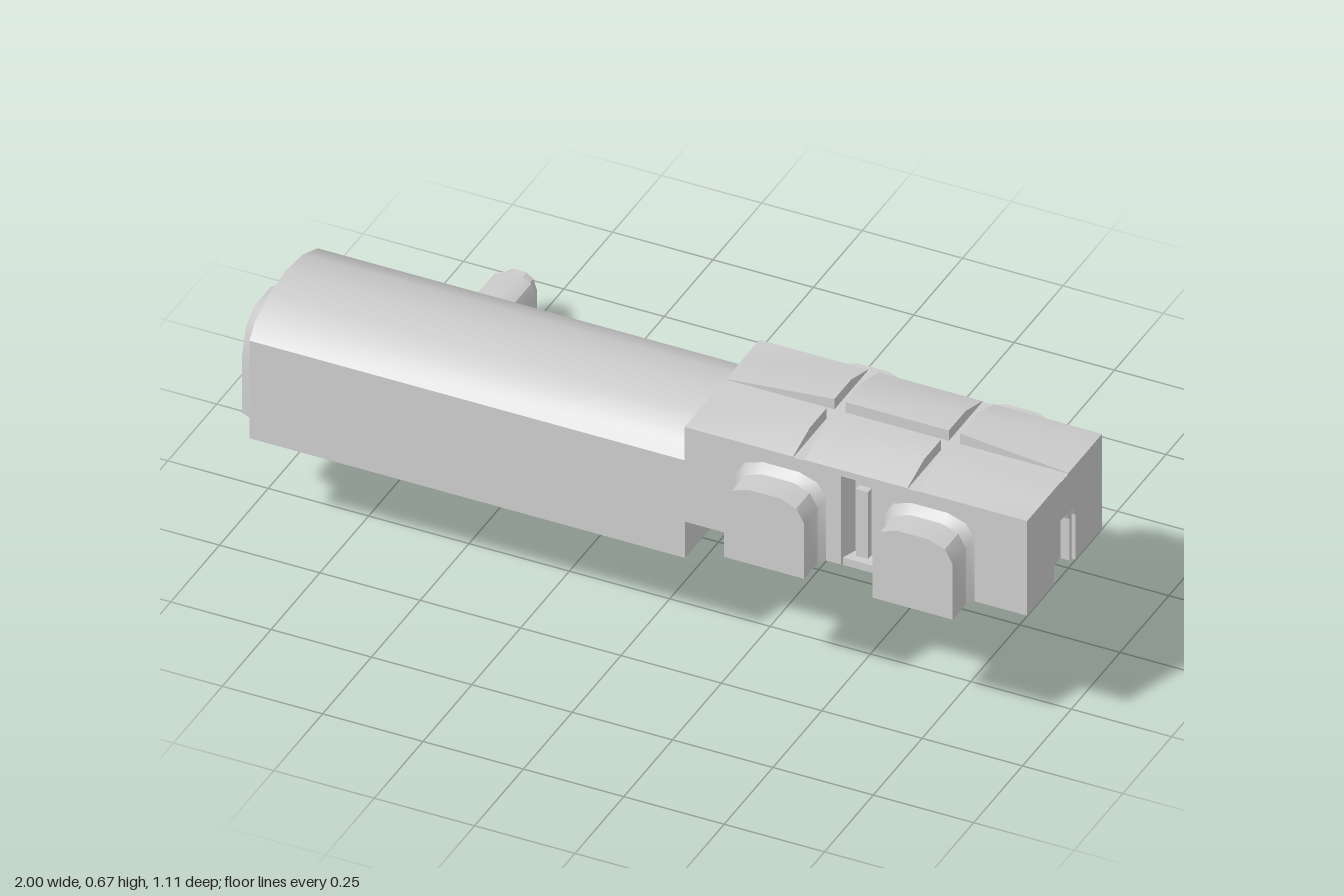
import * as THREE from 'three';
import { toCreasedNormals } from 'three/addons/utils/BufferGeometryUtils.js';

const MID_Z = 0.28; // centre line of body and head

// Closed skin over rings of [x, y, z]; each ring runs counter-clockwise seen from the last one
function loft(rings) {
  const n = rings[0].length;
  const pos = rings.flat(2);
  const index = [];
  for (let k = 0; k < rings.length - 1; k++) {
    for (let i = 0; i < n; i++) {
      const a = k * n + i, b = k * n + (i + 1) % n;
      index.push(a, b, b + n, a, b + n, a + n);
    }
  }
  const last = (rings.length - 1) * n;
  for (let i = 1; i < n - 1; i++) {
    index.push(0, i + 1, i, last, last + i, last + i + 1);
  }
  const g = new THREE.BufferGeometry();
  g.setAttribute('position', new THREE.Float32BufferAttribute(pos, 3));
  g.setIndex(index);
  return toCreasedNormals(g, 0.6);
}

// Block outline with a bevelled top, standing on v = 0 and centred on u = 0
function archPoints(w, h, bevel) {
  const half = [[0.5 * w, 0], [0.5 * w, h - bevel], [0.4 * w, h - 0.3 * bevel], [0.2 * w, h]];
  return [...half, ...half.map(([u, v]) => [-u, v]).reverse()];
}

function extrude(points, depth) {
  const shape = new THREE.Shape(points.map(([u, v]) => new THREE.Vector2(u, v)));
  return new THREE.ExtrudeGeometry(shape, { depth, bevelEnabled: false });
}

export function createModel() {
  const model = new THREE.Group();
  const material = new THREE.MeshStandardMaterial({ color: 0xcccccc });
  const add = (name, geometry, x = 0, y = 0, z = 0, parent = model) => {
    const mesh = new THREE.Mesh(geometry, material);
    mesh.name = name;
    mesh.position.set(x, y, z);
    parent.add(mesh);
    return mesh;
  };

  // Long body with rounded upper edges
  const halfBody = [[0.19, 0], [0.19, 0.265], [0.16, 0.3], [0.085, 0.33], [0, 0.34]];
  const bodyOutline = [...halfBody, ...halfBody.slice(0, 4).map(([u, v]) => [-u, v]).reverse()];
  const body = extrude(bodyOutline, 1.085).rotateY(Math.PI / 2);
  add('body', toCreasedNormals(body, 0.6), -0.94, 0.29, MID_Z);

  // Tapered nose on the body's far end
  const noseRing = (x, w, h) => archPoints(w, h, 0.1).map(([u, v]) => [x, 0.29 + v, MID_Z + u]);
  add('nose', loft([noseRing(-0.92, 0.28, 0.28), noseRing(-0.94, 0.27, 0.28), noseRing(-1, 0.21, 0.25)]));

  // Bent arm reaching backwards, with a narrower tip
  const armRing = (z, y, w = 0.115, h = 0.178) =>
    archPoints(w, h, 0.04).map(([u, v]) => [-0.765 - u, y + v, z]);
  add('arm', loft([armRing(0.15, 0.335), armRing(-0.26, 0), armRing(-0.52, 0)]));
  add('armTip', loft([armRing(-0.51, 0.004, 0.085, 0.162), armRing(-0.555, 0.004, 0.085, 0.162)]));

  // Head block: footprint with a narrow channel in each long side
  const head = new THREE.Group();
  head.name = 'head';
  model.add(head);
  const edge = [[0.145, -0.192], [0.535, -0.192], [0.55, -0.15], [0.6, -0.15], [0.615, -0.192], [0.955, -0.192]];
  const footprint = [...edge, ...edge.map(([x, v]) => [x, -v]).reverse()];
  add('headBlock', extrude(footprint, 0.255).rotateX(-Math.PI / 2), 0, 0.39, MID_Z, head);

  // End wall with an arched doorway, a raised frame and a recessed door
  const door = archPoints(0.11, 0.152, 0.03);
  const wall = [[0.192, 0], [0.192, 0.255], [-0.192, 0.255], [-0.192, 0], ...door.slice().reverse()];
  add('endWall', extrude(wall, 0.045).rotateY(Math.PI / 2), 0.953, 0.39, MID_Z, head);
  const frame = [...door, ...archPoints(0.092, 0.14, 0.027).reverse()];
  add('doorFrame', extrude(frame, 0.035).rotateY(Math.PI / 2), 0.953, 0.39, MID_Z, head);
  add('door', extrude(archPoints(0.092, 0.14, 0.027), 0.012).rotateY(Math.PI / 2), 0.953, 0.39, MID_Z, head);

  // Roof: two rows of three panels sloping down to the outer edges
  const spans = [[0.145, 0.415], [0.442, 0.7], [0.728, 0.998]];
  for (const side of [-1, 1]) {
    for (const [x0, x1] of spans) {
      const panel = new THREE.BoxGeometry(x1 - x0, 0.02, 0.172, 1, 1, 2);
      panel.translate((x0 + x1) / 2, 0.64, side * 0.106);
      const p = panel.attributes.position;
      for (let i = 0; i < p.count; i++) {
        if (p.getY(i) < 0.64) continue;
        const x = p.getX(i);
        const riseX = Math.min(1, (x - 0.145) / 0.26, (0.998 - x) / 0.26);
        const riseZ = Math.min(1, (0.192 - Math.abs(p.getZ(i))) / 0.08);
        p.setY(i, 0.647 + 0.026 * riseX * riseZ);
      }
      panel.computeVertexNormals();
      add('roofPanel', panel, 0, 0, MID_Z, head);
    }

    // Bevelled bays on the long sides, flaring slightly where they meet the wall
    for (const x of [0.385, 0.755]) {
      const ring = (z, w, h) => archPoints(w, h, 0.05).map(([u, v]) => [u, v, z]);
      const bay = loft([ring(0.15, 0.225, 0.22), ring(0.192, 0.225, 0.22), ring(0.21, 0.2, 0.2), ring(0.279, 0.2, 0.2)]);
      if (side < 0) bay.rotateY(Math.PI);
      add('sideBay', bay, x, 0.39, MID_Z, head);
    }

    // Slim post standing in the channel
    add('channelPost', new THREE.BoxGeometry(0.03, 0.2, 0.02), 0.575, 0.488, MID_Z + side * 0.158, head);
    add('channelSill', new THREE.BoxGeometry(0.075, 0.02, 0.035), 0.575, 0.397, MID_Z + side * 0.17, head);
  }
  return model;
}
